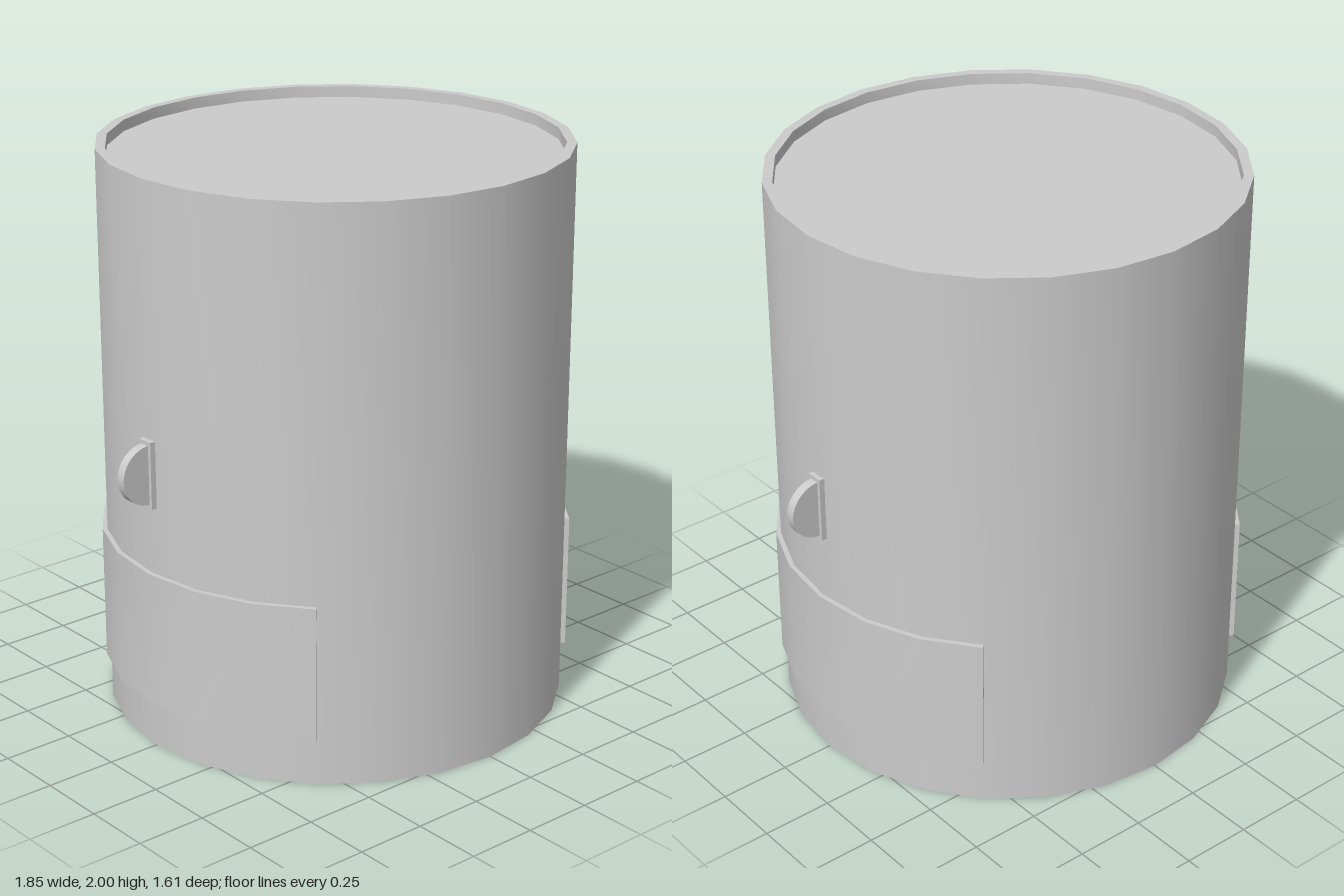
import * as THREE from 'three';
import { toCreasedNormals } from 'three/addons/utils/BufferGeometryUtils.js';

const SIDES = 24;
const RADIUS = 0.807;
const material = new THREE.MeshStandardMaterial({ color: 0xcccccc });

function addMesh(parent, name, geometry) {
  const mesh = new THREE.Mesh(geometry, material);
  mesh.name = name;
  parent.add(mesh);
  return mesh;
}

// Drum with a recessed lid and a recessed floor
function bodyGeometry() {
  const rim = 0.773, recess = 0.04;
  const profile = [
    [0, recess], [rim, recess], [rim, 0], [RADIUS, 0],
    [RADIUS, 2], [rim, 2], [rim, 2 - recess], [0, 2 - recess],
  ].map(([x, y]) => new THREE.Vector2(x, y));
  return toCreasedNormals(new THREE.LatheGeometry(profile, SIDES), 0.6);
}

// Plate bent around the drum over a quarter turn, facing +x
function wrapPlateGeometry(inner, outer, bottom, top) {
  const geo = new THREE.BoxGeometry(1, top - bottom, 1, 1, 1, SIDES / 4);
  const p = geo.attributes.position;
  for (let i = 0; i < p.count; i++) {
    const r = p.getX(i) < 0 ? inner : outer;
    const a = p.getZ(i) * Math.PI / 2;
    p.setXYZ(i, r * Math.cos(a), p.getY(i) + (top + bottom) / 2, r * Math.sin(a));
  }
  geo.computeVertexNormals();
  return geo;
}

export function createModel() {
  const model = new THREE.Group();
  model.name = 'drum';
  addMesh(model, 'body', bodyGeometry());

  for (const [side, turn] of [['left', 0], ['right', Math.PI]]) {
    const group = new THREE.Group();
    group.name = side + 'Fittings';
    group.rotation.y = turn;
    model.add(group);

    addMesh(group, side + 'WrapPlate', wrapPlateGeometry(0.79, 0.824, 0.165, 0.645));

    // Lug: small mounting plate with a half-disc tab
    addMesh(group, side + 'LugPlate', new THREE.BoxGeometry(0.035, 0.236, 0.06))
      .position.set(0.805, 1.002, 0);
    const tab = new THREE.CylinderGeometry(0.104, 0.104, 0.034, 24, 1, false, 0, Math.PI);
    tab.rotateX(Math.PI / 2);
    addMesh(group, side + 'LugTab', tab).position.set(0.82, 1.002, 0);
  }
  return model;
}
